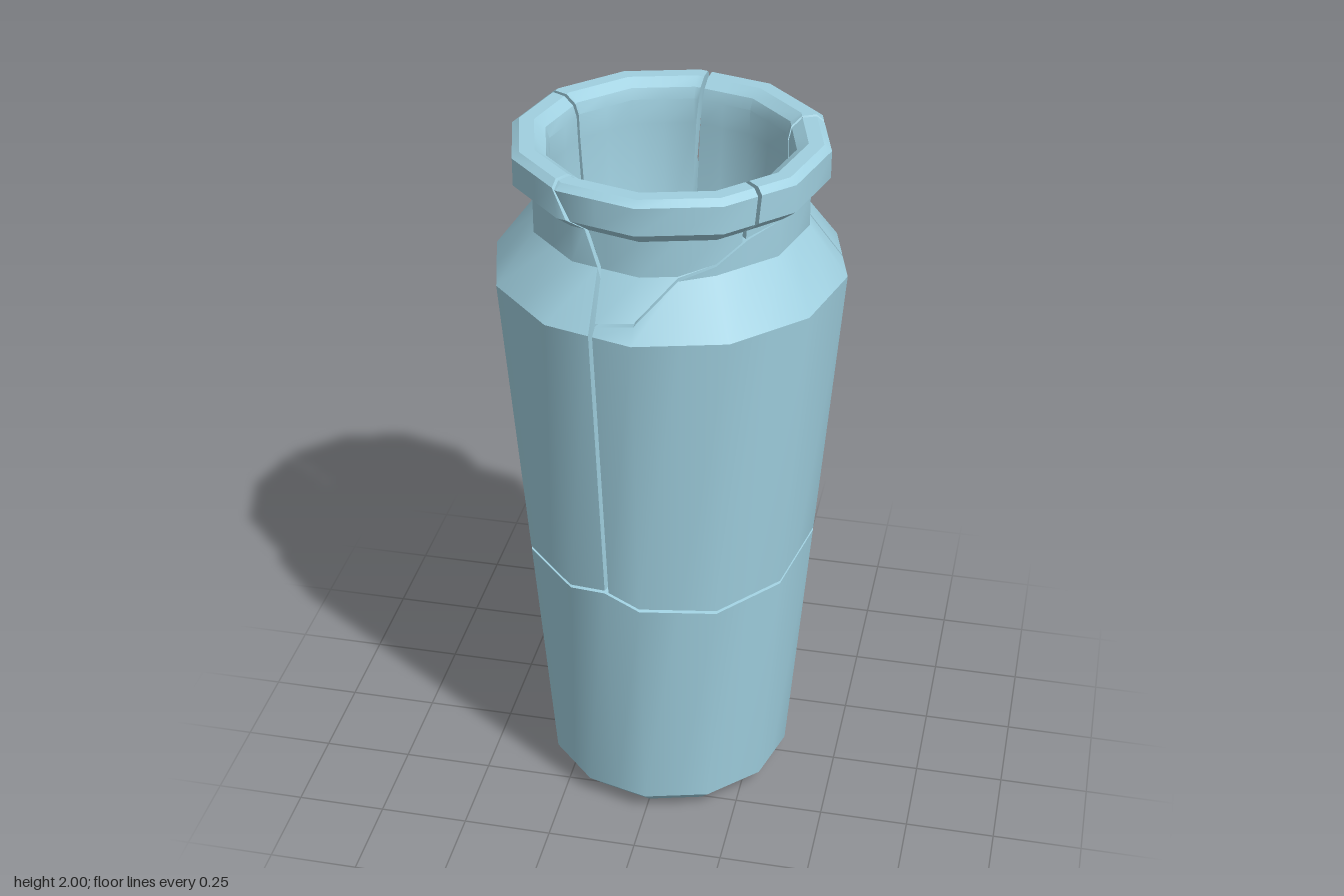
import * as THREE from 'three';
import { toCreasedNormals } from 'three/addons/utils/BufferGeometryUtils.js';

const RAD = Math.PI / 180;
const material = new THREE.MeshStandardMaterial({ color: 0xa0d0e0 });

// Wall profiles as [radius, height]: outside upwards, inside downwards
const OUTER = [[0.35, 0.055], [0.475, 1.63], [0.37, 1.77], [0.37, 1.87], [0.42, 1.91], [0.42, 1.985], [0.4, 2]];
const INNER = [[0.36, 2], [0.33, 1.98], [0.32, 1.95], [0.32, 1.88], [0.3, 1.5], [0.18, 1.15], [0, 1.05], [0, 0.82]];

// Piecewise linear lookup in [key, value] pairs
function lookup(table, k) {
  if (k <= table[0][0]) return table[0][1];
  for (let i = 1; i < table.length; i++) {
    const [k0, v0] = table[i - 1], [k1, v1] = table[i];
    if (k <= k1) return v0 + (v1 - v0) * (k - k0) / (k1 - k0);
  }
  return table[table.length - 1][1];
}
const outerTable = OUTER.map(([r, y]) => [y, r]);
const innerTable = INNER.map(([r, y]) => [y, r]).reverse();

// Height of the break around the body, by angle in degrees
const BREAK = [[0, 0.82], [30, 0.77], [60, 0.75], [90, 0.765], [105, 0.795], [120, 0.78], [150, 0.785], [180, 0.82],
  [210, 0.89], [240, 0.91], [270, 0.905], [300, 0.885], [330, 0.865], [345, 0.855], [360, 0.82]];
const bodyBreak = (a) => lookup(BREAK, ((a % 360) + 360) % 360);

// Height of the break below the loose rim pieces
const rimBreak = (a) => lookup([[37, 1.87], [58, 1.8], [75, 1.76], [90, 1.67], [104, 1.65]], a);

// Upright cracks: angle by height
const CRACKS = {
  right: [[1.77, -14], [1.9, -17], [2, -26]],
  middle: [[1.87, 47], [2, 45]],
  front: [[1.65, 104], [1.78, 108], [1.9, 115], [2, 123]],
  left: [[1.75, 210], [2, 207]],
  back: [[1.75, 270], [2, 274]],
};
const crack = (name, turn = 0) => (y) => lookup(CRACKS[name], y) + turn;

// Radius on a twelve-sided outline with corners every 30 degrees
function facet(r, a) {
  const off = (((a % 30) + 30) % 30) - 15;
  return r * Math.cos(15 * RAD) / Math.cos(off * RAD);
}

// Sweeps a cross-section through a range of angles; section(angle) returns [radius, height] points
function sweep(name, section, start, end, capped) {
  const first = Math.floor(start(0) / 15) * 15 - 30, last = end(0) + 45;
  const angles = capped ? [-999] : [];
  if (capped) for (let a = first; a < last; a += 15) angles.push(a);
  else for (let a = 0; a <= 360; a += 15) angles.push(a);
  if (capped) angles.push(999);

  const columns = angles.map((a) => {
    const nominal = THREE.MathUtils.clamp(a, start(1), end(1));
    const guess = section(nominal);
    return guess.map((_, i) => {
      let [r, y] = guess[i];
      let angle = a;
      if (capped) {
        const gap = 0.006 / Math.max(r, 0.1) / RAD;
        angle = THREE.MathUtils.clamp(a, start(y) + gap, end(y) - gap);
        [r, y] = section(angle)[i];
      }
      const f = facet(r, angle);
      return { r: f, p: [f * Math.cos(angle * RAD), y, f * Math.sin(angle * RAD)] };
    });
  });

  const pos = [];
  const tri = (a, b, c) => pos.push(...a.p, ...b.p, ...c.p);
  const n = columns[0].length;
  for (let j = 0; j + 1 < columns.length; j++) {
    for (let i = 0; i < (capped ? n : n - 1); i++) {
      const k = (i + 1) % n, A = columns[j], B = columns[j + 1];
      tri(A[i], A[k], B[i]);
      tri(A[k], B[k], B[i]);
    }
  }
  // Broken faces at both ends
  if (capped) {
    [[columns[0], true], [columns[columns.length - 1], false]].forEach(([col, flip]) => {
      const outline = col.map((v) => new THREE.Vector2(v.r, v.p[1]));
      for (const [a, b, c] of THREE.ShapeUtils.triangulateShape(outline, [])) {
        if (flip) tri(col[a], col[c], col[b]);
        else tri(col[a], col[b], col[c]);
      }
    });
  }
  const geometry = new THREE.BufferGeometry();
  geometry.setAttribute('position', new THREE.Float32BufferAttribute(pos, 3));
  const mesh = new THREE.Mesh(toCreasedNormals(geometry, 0.6), material);
  mesh.name = name;
  return mesh;
}

// Wall section cut off below low(angle) and above high(angle)
function wall(low, high) {
  return (a) => {
    const lo = low(a), hi = high(a);
    const cut = (table) => ([r, y]) => {
      if (r === 0 && lo < 1.2) return [r, y];
      const h = THREE.MathUtils.clamp(y, lo, hi);
      return h === y ? [r, y] : [lookup(table, h), h];
    };
    return [...OUTER.map(cut(outerTable)), ...INNER.map(cut(innerTable))];
  };
}

export function createModel() {
  const vase = new THREE.Group();
  vase.name = 'brokenVase';
  const top = () => 2;
  const aboveBody = (a) => bodyBreak(a) + 0.005;
  const aboveSeam = (a) => rimBreak(a) + 0.007;

  // Unbroken lower body
  const baseSection = (a) => {
    const y = bodyBreak(a) - 0.005;
    return [[0, 0], [0.295, 0], [0.35, 0.055], [lookup(outerTable, y), y], [0, 0.81]];
  };
  vase.add(sweep('lowerBody', baseSection, () => 0, () => 360, false));

  // Upper body shards
  vase.add(sweep('frontRightShard', wall(aboveBody, rimBreak), crack('right'), crack('front'), true));
  vase.add(sweep('frontLeftShard', wall(aboveBody, top), crack('front'), crack('left'), true));
  vase.add(sweep('backShard', wall(aboveBody, top), crack('left'), crack('back'), true));
  vase.add(sweep('backRightShard', wall(aboveBody, top), crack('back'), crack('right', 360), true));

  // Loose rim pieces over the front right shard
  vase.add(sweep('rightRimPiece', wall(aboveSeam, top), crack('right'), crack('middle'), true));
  vase.add(sweep('frontRimPiece', wall(aboveSeam, top), crack('middle'), crack('front'), true));
  return vase;
}
